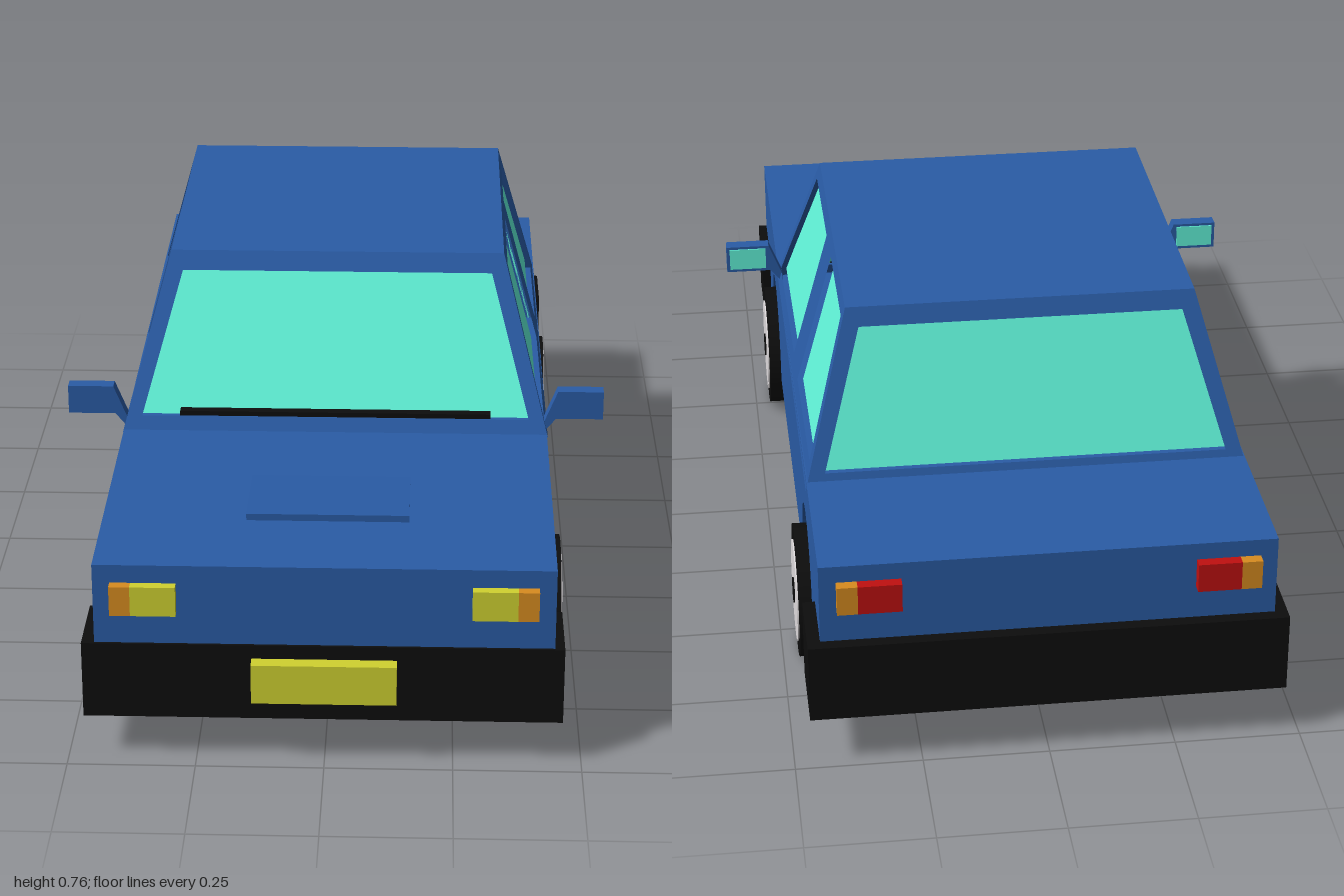
import * as THREE from 'three';

const paint = (color) => new THREE.MeshStandardMaterial({ color });
const blue = paint(0x2a5ca6), black = paint(0x0d0d0d), glass = paint(0x62f7dc), yellow = paint(0xd0d230),
  orange = paint(0xd88c20), red = paint(0xc01010), white = paint(0xe2dee0);

const BELT = 0.42, ROOF = 0.765;

export function createModel() {
  const car = new THREE.Group();
  car.name = 'car';

  const add = (name, geometry, material, parent = car) => {
    const mesh = new THREE.Mesh(geometry, material);
    mesh.name = name;
    parent.add(mesh);
    return mesh;
  };
  // Box given by its limits on each axis
  const box = (name, material, x0, x1, y0, y1, z0, z1) =>
    add(name, new THREE.BoxGeometry(x1 - x0, y1 - y0, z1 - z0), material)
      .position.set((x0 + x1) / 2, (y0 + y1) / 2, (z0 + z1) / 2);
  const outline = (points) => new THREE.Shape(points.map(([a, b]) => new THREE.Vector2(a, b)));
  const extrude = (shape, depth) =>
    new THREE.ExtrudeGeometry(shape, { depth, bevelEnabled: false, curveSegments: 24 });
  // Side profile (z, y) extruded across x
  const slab = (name, shape, x0, x1, material) =>
    add(name, extrude(shape, x1 - x0).rotateY(-Math.PI / 2).translate(x1, 0, 0), material);

  // Body: a full core between two side strips with wheel arches
  const axles = [[-0.565, 0.17], [0.54, 0.155]];
  const bodyShape = (arches) => {
    const s = new THREE.Shape();
    s.moveTo(-0.975, 0.135);
    if (arches) for (const [z, y] of axles) {
      s.lineTo(z - 0.15, 0.125 - z * 0.01);
      s.lineTo(z - 0.15, y);
      s.absarc(z, y, 0.15, Math.PI, 0, true);
      s.lineTo(z + 0.15, 0.125 - z * 0.01);
    }
    s.lineTo(0.965, 0.11);
    s.lineTo(0.965, 0.415);
    s.lineTo(0.345, 0.425);
    s.lineTo(-0.64, 0.437);
    s.lineTo(-0.975, 0.44);
    return s;
  };
  slab('bodyCore', bodyShape(false), -0.345, 0.345, blue);
  slab('leftBodySide', bodyShape(true), 0.345, 0.443, blue);
  slab('rightBodySide', bodyShape(true), -0.443, -0.345, blue);
  slab('bonnetScoop', outline([[0.765, 0.41], [0.765, 0.432], [0.56, 0.422], [0.56, 0.41]]), -0.16, 0.16, blue);

  // Cabin wall: a framed panel leaning inward with recessed panes, turned to its side
  const wall = (name, angle, base, top, border, openings) => {
    const lean = (base - top) / (ROOF - BELT);
    const place = (geometry, offset) => geometry
      .applyMatrix4(new THREE.Matrix4().set(
        1, 0, 0, 0,
        0, 1, 0, 0,
        0, -lean, 1, base + lean * BELT + offset,
        0, 0, 0, 1))
      .rotateY(angle);
    const frame = outline(border);
    frame.holes = openings.map(outline);
    add(name + 'Frame', place(extrude(frame, 0.022), -0.022), blue);
    for (const points of openings) {
      add(name + 'Glass', place(extrude(outline(points), 0.004), -0.016), glass);
    }
  };
  const screenBorder = [[-0.445, BELT], [0.445, BELT], [0.35, ROOF], [-0.35, ROOF]];
  const screen = [[-0.405, 0.452], [0.405, 0.452], [0.325, 0.727], [-0.325, 0.727]];
  wall('windscreen', 0, 0.348, 0.175, screenBorder, [screen]);
  wall('rearWindow', Math.PI, 0.652, 0.535, screenBorder, [screen]);
  for (const side of [1, -1]) {
    const turn = (points) => points.map(([z, y]) => [-side * z, y]);
    wall(side > 0 ? 'leftWindow' : 'rightWindow', side * Math.PI / 2, 0.445, 0.35,
      turn([[0.348, BELT], [0.175, ROOF], [-0.535, ROOF], [-0.652, BELT]]),
      [
        turn([[0.315, 0.447], [0.16, 0.735], [-0.135, 0.735], [-0.125, 0.457]]),
        turn([[-0.245, 0.457], [-0.247, 0.738], [-0.515, 0.738], [-0.605, 0.463]]),
      ]);
  }
  box('roof', blue, -0.35, 0.35, ROOF - 0.02, ROOF, -0.535, 0.175);
  box('wiper', black, -0.325, 0.325, 0.454, 0.464, 0.312, 0.334);

  // Bumpers and number plate
  box('frontBumper', black, -0.468, 0.462, 0.092, 0.25, 0.812, 0.971);
  box('rearBumper', black, -0.468, 0.468, 0.112, 0.275, -1, -0.832);
  box('frontPlate', yellow, -0.14, 0.14, 0.14, 0.222, 0.965, 1);

  for (const side of [1, -1]) {
    const span = (a, b) => (side > 0 ? [a, b] : [-b, -a]);
    const label = side > 0 ? 'left' : 'right';

    // Lamps
    box(label + 'Headlight', yellow, ...span(0.283, 0.37), 0.317, 0.378, 0.955, 0.985);
    box(label + 'FrontIndicator', orange, ...span(0.37, 0.41), 0.317, 0.378, 0.955, 0.985);
    box(label + 'TailLight', red, ...span(0.285, 0.37), 0.345, 0.405, -0.997, -0.965);
    box(label + 'RearIndicator', orange, ...span(0.37, 0.41), 0.345, 0.405, -0.997, -0.965);

    // Door mirror
    const mirror = [[0.435, 0.42], [0.462, 0.453], [0.56, 0.453], [0.56, 0.514], [0.465, 0.514], [0.435, 0.44]];
    add(label + 'Mirror', extrude(outline(mirror.map(([x, y]) => [side * x, y])), 0.03).translate(0, 0, 0.295), blue);
    box(label + 'MirrorGlass', glass, ...span(0.472, 0.553), 0.46, 0.508, 0.292, 0.297);

    // Wheels: tyre, rim and hub stacked outward along x
    for (const [z] of axles) {
      const wheel = new THREE.Group();
      wheel.name = label + (z > 0 ? 'FrontWheel' : 'RearWheel');
      const disc = (name, radius, x0, x1, material) => add(name,
        new THREE.CylinderGeometry(radius, radius, x1 - x0, 40).rotateZ(Math.PI / 2)
          .translate(side * (x0 + x1) / 2, 0, 0), material, wheel);
      disc('tyre', 0.137, 0.365, 0.468, black);
      disc('rim', 0.105, 0.46, 0.471, white);
      disc('hub', 0.026, 0.46, 0.474, black);
      wheel.position.set(0, 0.137, z);
      car.add(wheel);
    }
  }
  return car;
}
